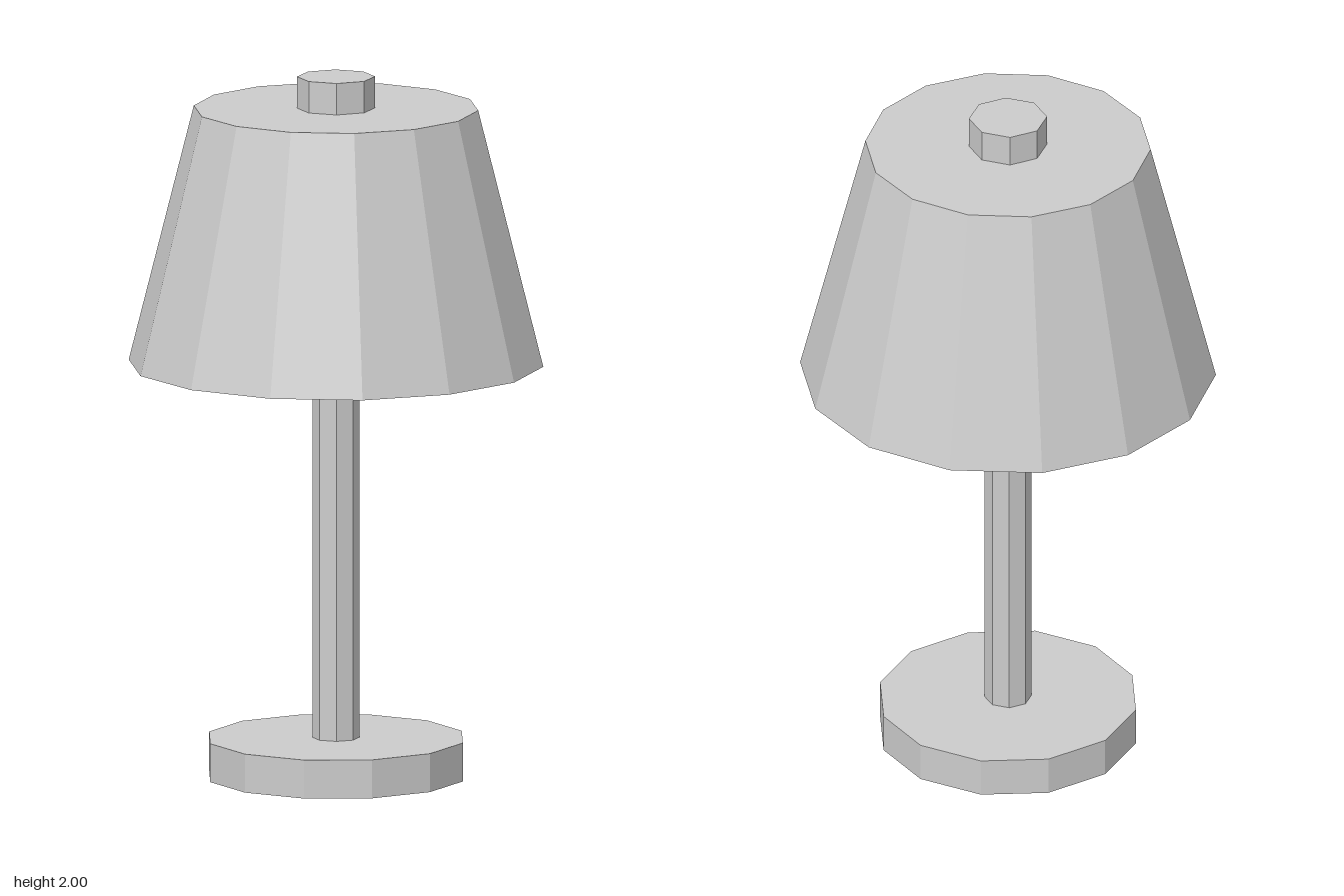
import * as THREE from 'three';

export function createModel() {
  const lamp = new THREE.Group();
  lamp.name = 'tableLamp';
  const material = new THREE.MeshStandardMaterial({ color: 0xcccccc, flatShading: true });

  // Faceted closed drum or cone standing between two heights
  function addPart(name, topRadius, bottomRadius, y0, y1, sides) {
    const geometry = new THREE.CylinderGeometry(topRadius, bottomRadius, y1 - y0, sides);
    const mesh = new THREE.Mesh(geometry, material);
    mesh.name = name;
    mesh.position.y = (y0 + y1) / 2;
    lamp.add(mesh);
  }

  addPart('base', 0.368, 0.368, 0, 0.11, 12);
  addPart('pole', 0.066, 0.066, 0.11, 1.18, 8);
  addPart('shade', 0.402, 0.586, 1.18, 1.91, 14);
  addPart('finial', 0.11, 0.11, 1.91, 2, 8);

  return lamp;
}
